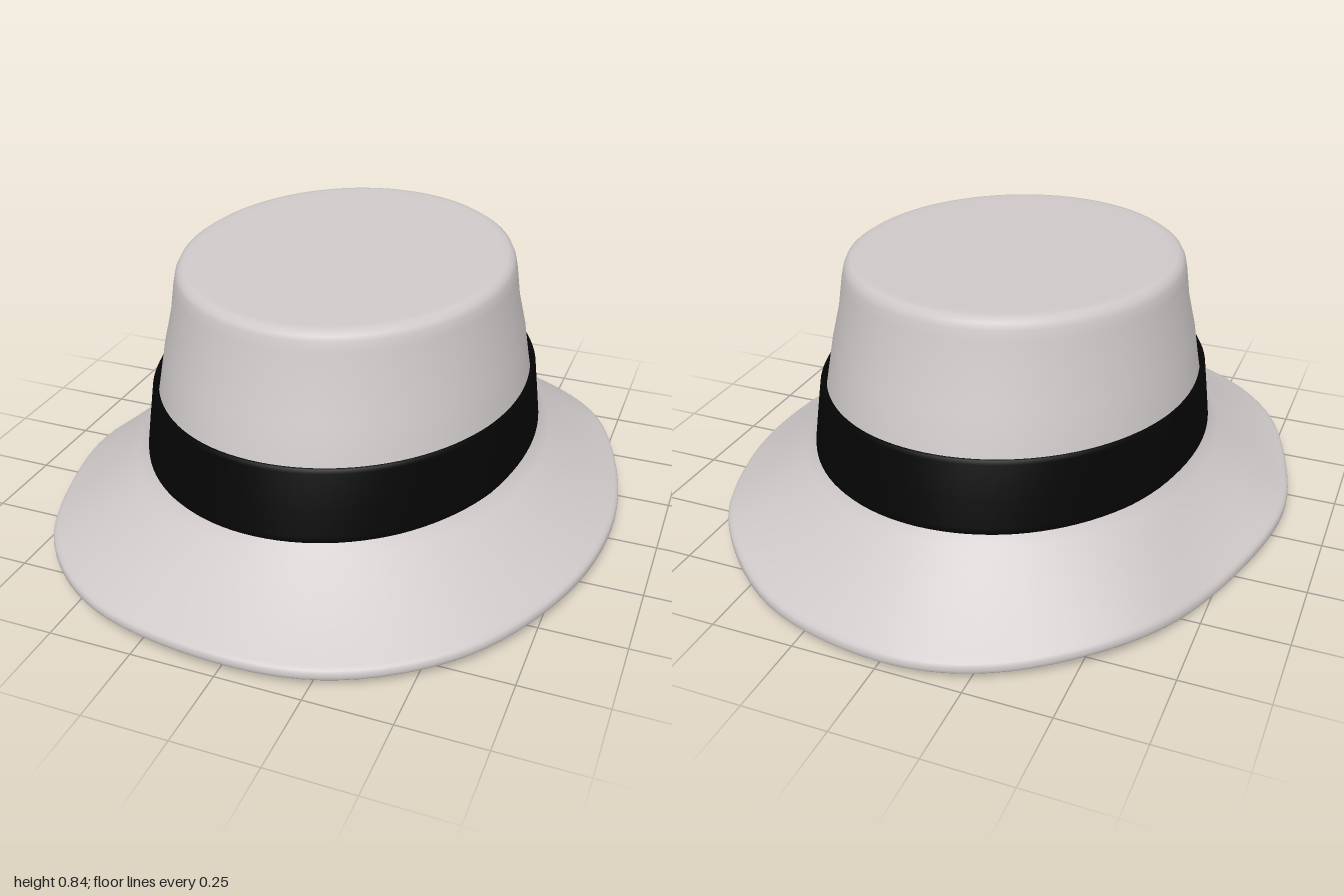
import * as THREE from 'three';

const N = 112; // points around each ring

// Elliptical ring: height, half width (x), half depth (z), tilt = rise towards the back
function ring(y, rx, rz, tilt = 0.02) {
  return Array.from({ length: N }, (_, i) => {
    const a = (i / N) * Math.PI * 2;
    const z = -rz * Math.cos(a) - 0.007;
    return new THREE.Vector3(-rx * Math.sin(a) - 0.008, y - tilt * z, z);
  });
}

// Smooth skin over a list of rings; closed joins the last ring to the first
function skin(rings, closed = false) {
  const position = rings.flat().flatMap((p) => [p.x, p.y, p.z]);
  const index = [];
  const count = closed ? rings.length : rings.length - 1;
  for (let i = 0; i < count; i++) {
    const next = (i + 1) % rings.length;
    for (let j = 0; j < N; j++) {
      const k = (j + 1) % N;
      const a = i * N + j, b = next * N + j, c = i * N + k, d = next * N + k;
      index.push(a, b, c, b, d, c);
    }
  }
  const geometry = new THREE.BufferGeometry();
  geometry.setAttribute('position', new THREE.Float32BufferAttribute(position, 3));
  geometry.setIndex(index);
  geometry.computeVertexNormals();
  return geometry;
}

// Wavy outer edge of the brim, from the back round by -x
const rimCurve = new THREE.CatmullRomCurve3([
  [0, 0.055, -1], [-0.31, 0.055, -0.93], [-0.6, 0.07, -0.71], [-0.75, 0.03, -0.38],
  [-0.86, 0.05, 0.03], [-0.82, 0.055, 0.36], [-0.68, 0.065, 0.69], [-0.4, 0.07, 0.92],
  [0, 0.07, 0.995], [0.33, 0.06, 0.93], [0.62, 0.065, 0.72], [0.8, 0.06, 0.37],
  [0.86, 0.06, 0], [0.81, 0.07, -0.34], [0.67, 0.075, -0.65], [0.38, 0.05, -0.9],
].map((p) => new THREE.Vector3(...p)), true, 'catmullrom', 0.5);
const rim = Array.from({ length: N }, (_, i) => rimCurve.getPoint(i / N));

// Ring part of the way from the foot of the crown to the rim, with a slight sag
function brimRing(t, drop = 0) {
  return ring(0.268, 0.6, 0.705).map((p, i) => {
    p.lerp(rim[i], t);
    p.y -= drop + 0.012 * Math.sin(Math.PI * t);
    return p;
  });
}

export function createModel() {
  const group = new THREE.Group();
  const felt = new THREE.MeshStandardMaterial({ color: 0xcfc9c9 });
  const ribbon = new THREE.MeshStandardMaterial({ color: 0x050505 });

  const add = (name, geometry, material) => {
    const mesh = new THREE.Mesh(geometry, material);
    mesh.name = name;
    group.add(mesh);
  };

  // Crown wall: height, half width, half depth
  const wall = [
    [0.8, 0.501, 0.562], [0.77, 0.507, 0.57], [0.68, 0.518, 0.591], [0.58, 0.54, 0.623],
    [0.47, 0.556, 0.657], [0.38, 0.572, 0.675], [0.3, 0.588, 0.693],
  ];
  // Flat crown top with a rounded edge; inset makes the lining
  const top = (inset) => [
    [0.827, 0, 0], [0.828, 0.25, 0.29], [0.828, 0.4, 0.46], [0.829, 0.455, 0.52],
    [0.826, 0.478, 0.541], [0.816, 0.493, 0.555],
  ].map(([y, x, z]) => ring(y - inset, Math.max(0, x - inset), Math.max(0, z - inset), 0.026));
  const side = (inset) => wall.map(([y, x, z]) =>
    ring(y - inset * 0.6, x - inset, z - inset, 0.02));

  const steps = [0, 0.12, 0.3, 0.5, 0.7, 0.85, 0.95, 0.985];
  const outer = [...top(0), ...side(0), ...steps.map((t) => brimRing(t))];
  const rolledEdge = [brimRing(0.998, 0.007), brimRing(1, 0.015), brimRing(0.998, 0.023)];
  const lining = [...top(0.022), ...side(0.022), ...steps.map((t) => brimRing(t, 0.03))].reverse();
  add('crownAndBrim', skin([...outer, ...rolledEdge, ...lining]), felt);

  // Ribbon band, a closed loop in section that stands slightly off the crown
  const band = [
    [0.469, 0.561, 0.661], [0.476, 0.567, 0.669], [0.476, 0.573, 0.677], [0.466, 0.578, 0.683],
    [0.375, 0.588, 0.704], [0.29, 0.597, 0.722], [0.276, 0.597, 0.724], [0.267, 0.591, 0.716],
    [0.27, 0.58, 0.69], [0.375, 0.568, 0.674],
  ].map(([y, x, z]) => {
    const r = ring(y, x, z, 0.014);
    // the band dips a little at the sides
    r.forEach((p) => { p.y -= 0.012 * (p.x / 0.6) ** 2; });
    return r;
  });
  add('hatBand', skin(band, true), ribbon);

  return group;
}
